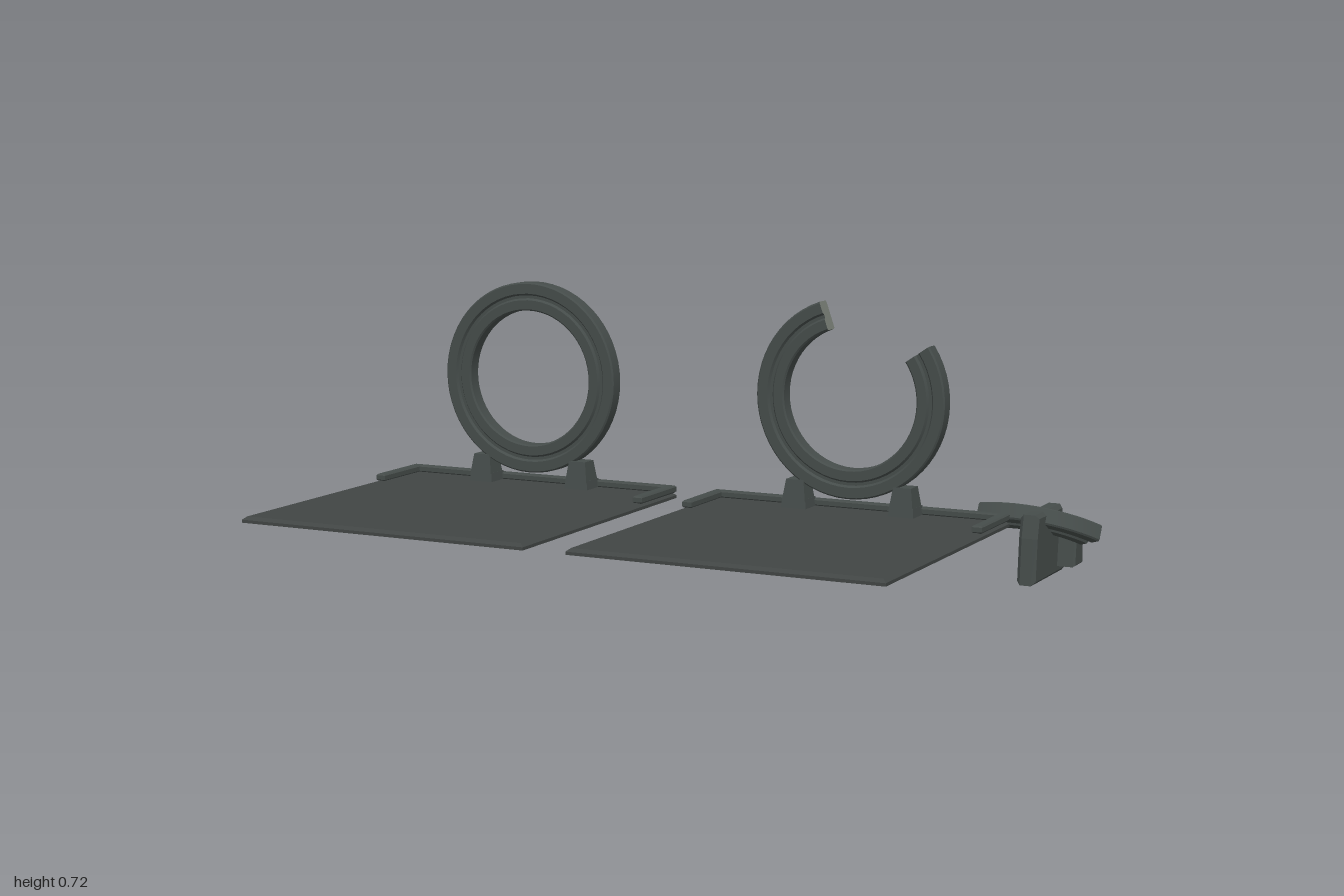
import * as THREE from 'three';
import { toCreasedNormals } from 'three/addons/utils/BufferGeometryUtils.js';

const RAD = Math.PI / 180;
const stone = new THREE.MeshStandardMaterial({ color: 0x454c4a });
const slabMat = new THREE.MeshStandardMaterial({ color: 0x414544 });
const cutMat = new THREE.MeshStandardMaterial({ color: 0x767c74, side: THREE.DoubleSide });

function part(parent, name, geometry, material = stone) {
  const mesh = new THREE.Mesh(geometry, material);
  mesh.name = name;
  parent.add(mesh);
  return mesh;
}

// Box standing on y = 0 whose top face has its own width and depth
function taperedBox(w, d, h, topW, topD) {
  const g = new THREE.BoxGeometry(w, h, d);
  g.translate(0, h / 2, 0);
  const p = g.attributes.position;
  for (let i = 0; i < p.count; i++) {
    if (p.getY(i) > h / 2) p.setXYZ(i, p.getX(i) * topW / w, h, p.getZ(i) * topD / d);
  }
  const flat = g.toNonIndexed();
  flat.computeVertexNormals();
  return flat;
}

function polygon(points) {
  return new THREE.Shape(points.map(([x, y]) => new THREE.Vector2(x, y)));
}

// Ring section (radius, depth): chamfered rims and a groove in the front face
const section = [
  [0.187, -0.0185], [0.191, -0.0225], [0.261, -0.0225], [0.265, -0.0185],
  [0.265, 0.0185], [0.261, 0.0225], [0.234, 0.0225], [0.229, 0.016],
  [0.221, 0.016], [0.216, 0.0225], [0.191, 0.0225], [0.187, 0.0185],
];

// Ring or arc about the z axis, angles in degrees from +x
function ringArc(name, from, to) {
  const group = new THREE.Group();
  group.name = name;
  const loop = [...section, section[0]].map(([r, z]) => new THREE.Vector2(r, z));
  const steps = Math.round((to - from) / 6);
  const lathe = new THREE.LatheGeometry(loop, steps, (from + 90) * RAD, (to - from) * RAD);
  lathe.rotateX(Math.PI / 2);
  part(group, 'ringBand', toCreasedNormals(lathe, 0.4));
  if (to - from < 360) {
    for (const angle of [from, to]) {
      const cap = new THREE.ShapeGeometry(polygon(section));
      cap.rotateX(Math.PI / 2).rotateZ(angle * RAD);
      part(group, 'brokenEnd', cap, cutMat);
    }
  }
  return group;
}

// Square floor with a U-shaped rim, two feet and a standing ring
function gateway(name, x, from, to) {
  const group = new THREE.Group();
  group.name = name;
  group.position.x = x;

  part(group, 'floorBase', taperedBox(0.84, 0.84, 0.008, 0.84, 0.84), slabMat).position.set(0, 0.145, 0.11);
  part(group, 'floorBevel', taperedBox(0.84, 0.84, 0.008, 0.82, 0.82), slabMat).position.set(0, 0.153, 0.11);

  // Rim around the back corners
  const b = 0.004;
  const o = 0.42 - b, i = 0.392 + b, back = 0.31 - b, front = 0.105 + b, inner = 0.287 + b;
  const rim = new THREE.ExtrudeGeometry(polygon([
    [-o, front], [-i, front], [-i, inner], [i, inner],
    [i, front], [o, front], [o, back], [-o, back],
  ]), { depth: 0.012, bevelThickness: b, bevelSize: b, bevelSegments: 1 });
  rim.rotateX(-Math.PI / 2);
  part(group, 'rim', rim).position.y = 0.164;

  for (const side of [-1, 1]) {
    part(group, 'footBase', taperedBox(0.072, 0.075, 0.025, 0.066, 0.068)).position.set(side * 0.152, 0.16, -0.262);
    part(group, 'foot', taperedBox(0.066, 0.064, 0.055, 0.05, 0.048)).position.set(side * 0.152, 0.182, -0.2575);
  }

  const ring = ringArc('ring', from, to);
  ring.position.set(0, 0.46, -0.2575);
  group.add(ring);
  return group;
}

// Debris: the missing arc lying tilted across an upright block
function debris() {
  const group = new THREE.Group();
  group.name = 'debris';

  const arc = ringArc('fallenArc', 34, 109);
  arc.position.set(0.78, 0.048, -0.578);
  arc.rotation.x = 60 * RAD;
  group.add(arc);

  // Side outline drawn as (-z, y), then turned to face +x
  const b = 0.01;
  const block = new THREE.ExtrudeGeometry(polygon([
    [0.291, b], [0.52, b], [0.52, 0.03], [0.494, 0.171], [0.312, 0.171], [0.3, 0.12],
  ]), { depth: 0.03, bevelThickness: b, bevelSize: b, bevelSegments: 1 });
  block.rotateY(Math.PI / 2);
  part(group, 'uprightBlock', block).position.x = 0.84;

  const stub = new THREE.ExtrudeGeometry(polygon([
    [0.465, 0.027], [0.525, 0.027], [0.518, 0.107], [0.474, 0.107],
  ]), { depth: 0.042, bevelThickness: 0.006, bevelSize: 0.005, bevelSegments: 1 });
  stub.rotateY(Math.PI / 2);
  part(group, 'sideStub', stub).position.x = 0.88;
  return group;
}

export function createModel() {
  const model = new THREE.Group();
  model.name = 'ringGateways';
  model.add(gateway('wholeGateway', -0.58, 0, 360));
  model.add(gateway('brokenGateway', 0.38, 109, 394));
  model.add(debris());
  return model;
}
